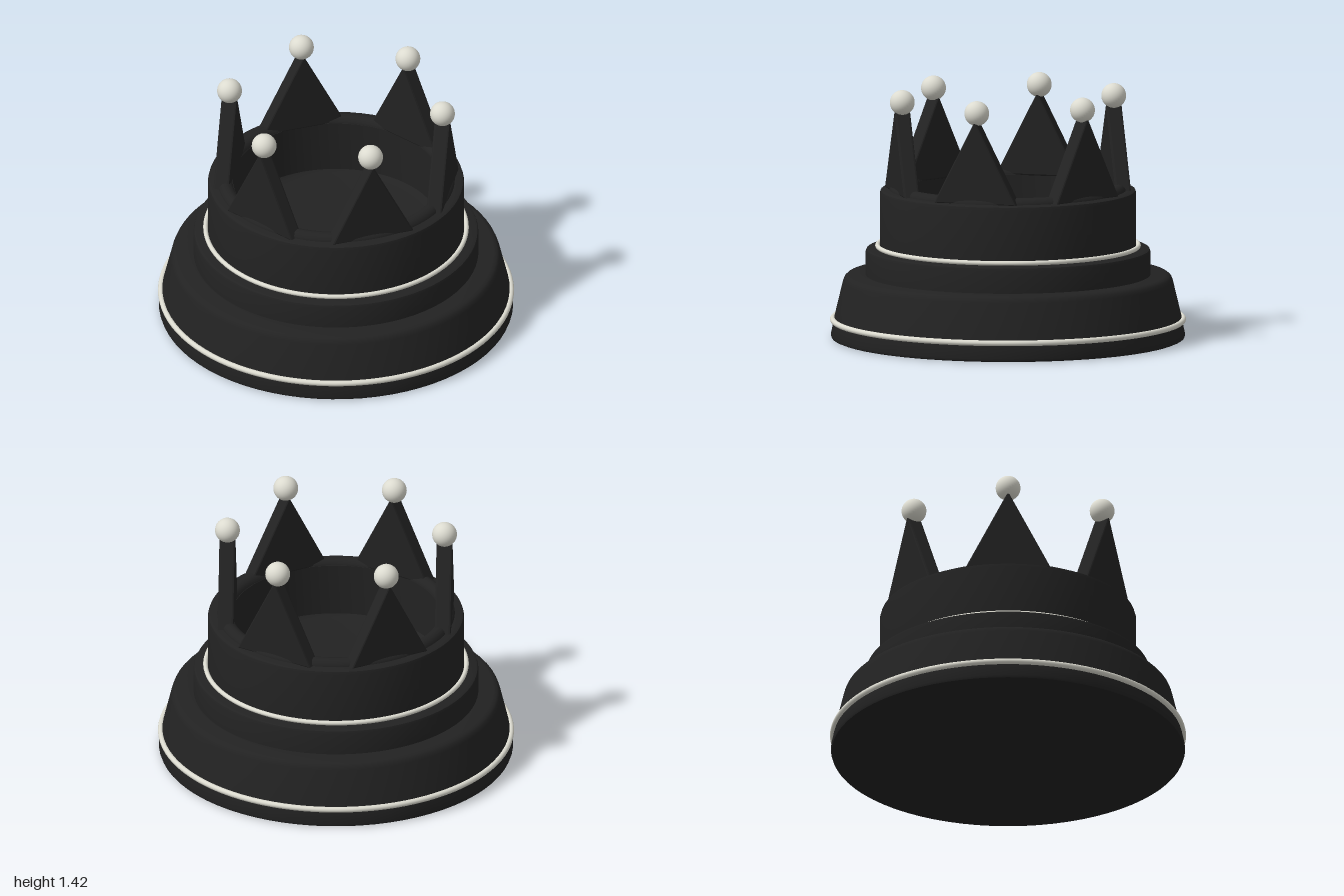
import * as THREE from 'three';
import { toCreasedNormals } from 'three/addons/utils/BufferGeometryUtils.js';

export function createModel() {
  const model = new THREE.Group();
  model.name = 'crownPiece';
  const black = new THREE.MeshStandardMaterial({ name: 'black', color: 0x222222 });
  const ivory = new THREE.MeshStandardMaterial({ name: 'ivory', color: 0xdcdbd0 });

  const add = (name, geometry, material, parent = model) => {
    const mesh = new THREE.Mesh(geometry, material);
    mesh.name = name;
    parent.add(mesh);
    return mesh;
  };
  // turned part from [radius, height] pairs, listed bottom to top
  const turned = (name, points) => {
    const lathe = new THREE.LatheGeometry(points.map(([r, y]) => new THREE.Vector2(r, y)), 72);
    return add(name, toCreasedNormals(lathe, 0.6), black);
  };
  const ring = (name, radius, tube, y, material) => {
    const geometry = new THREE.TorusGeometry(radius, tube, 12, 96).rotateX(Math.PI / 2);
    add(name, geometry, material).position.y = y;
  };

  // stepped base
  turned('foot', [[0, 0], [0.975, 0], [0.99, 0.006], [0.995, 0.02], [0.978, 0.1], [0.9, 0.1]]);
  turned('lowerTier', [[0.9, 0.1], [0.98, 0.1], [0.926, 0.325], [0.918, 0.345],
    [0.905, 0.357], [0.885, 0.362], [0.7, 0.362]]);
  turned('middleTier', [[0.8, 0.35], [0.8, 0.49], [0.795, 0.504], [0.78, 0.51], [0.6, 0.51]]);

  // hollow crown band with its floor
  turned('crownBand', [[0.72, 0.5], [0.72, 0.82], [0.715, 0.838], [0.7, 0.845], [0.58, 0.845],
    [0.58, 0.545], [0.565, 0.53], [0.53, 0.522], [0, 0.522]]);
  ring('rim', 0.625, 0.045, 0.835, black);

  // pale trim
  ring('lowerTrim', 0.984, 0.016, 0.107, ivory);
  ring('upperTrim', 0.733, 0.013, 0.525, ivory);

  // six bevelled spikes, each tipped with a ball
  const bevel = 0.012;
  const outline = new THREE.Shape([
    new THREE.Vector2(-0.228, 0.85), new THREE.Vector2(0.228, 0.85), new THREE.Vector2(0, 1.3),
  ]);
  const spike = new THREE.ExtrudeGeometry(outline, {
    depth: 0.09 - 2 * bevel, bevelThickness: bevel, bevelSize: bevel, bevelSegments: 2,
  }).translate(0, 0, bevel - 0.045);
  const ball = new THREE.SphereGeometry(0.07, 32, 20);
  for (let i = 0; i < 6; i++) {
    const point = new THREE.Group();
    point.name = 'crownPoint' + (i + 1);
    add('spike', spike, black, point).position.z = 0.61;
    add('ball', ball, ivory, point).position.set(0, 1.354, 0.61);
    point.rotation.y = Math.PI / 2 + i * Math.PI / 3;
    model.add(point);
  }
  return model;
}
